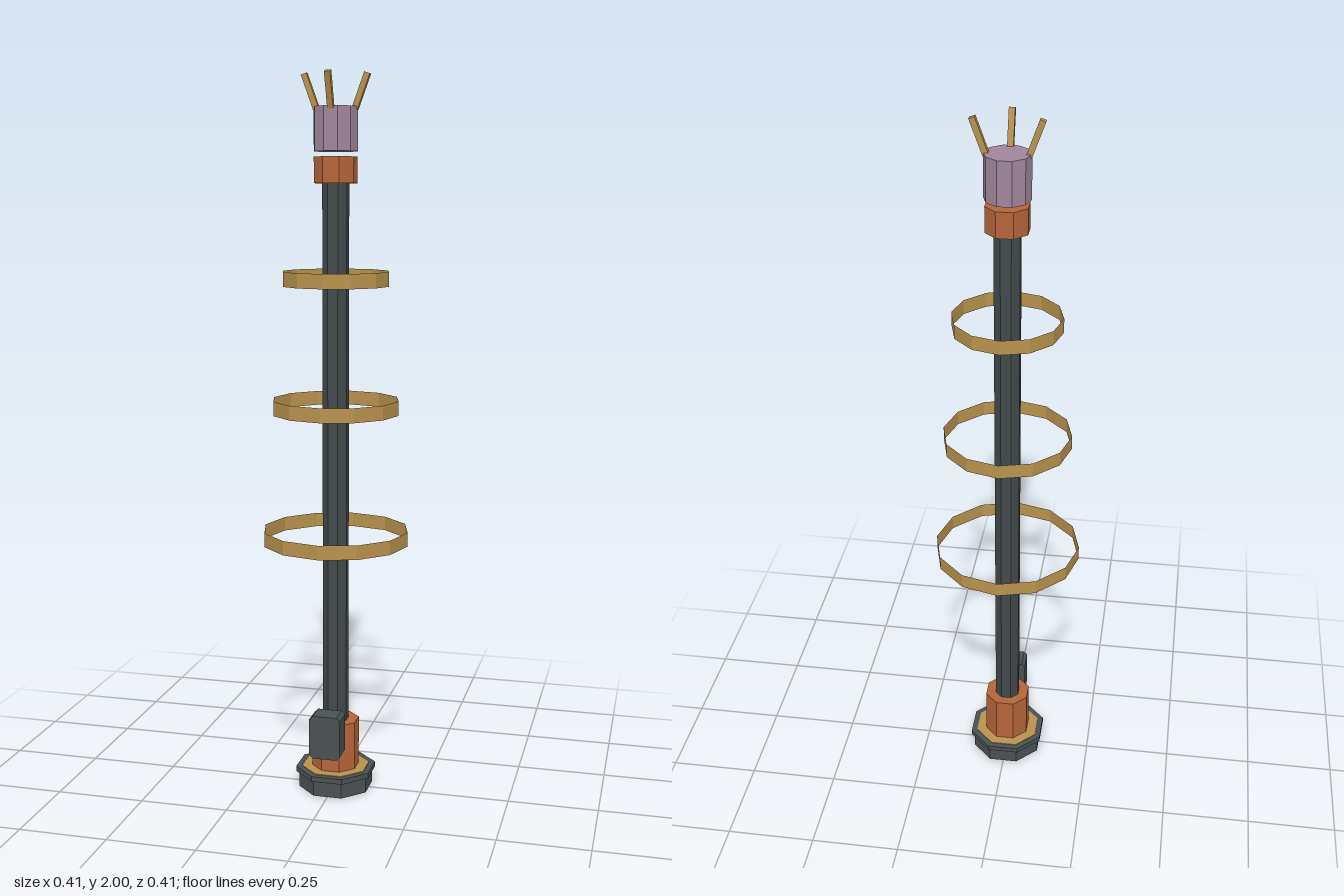
import * as THREE from 'three';

const mat = (name, color, extra = {}) =>
  Object.assign(new THREE.MeshStandardMaterial({ color, flatShading: true, ...extra }), { name });

export function createModel() {
  const model = new THREE.Group();
  const gunmetal = mat('gunmetal', 0x4a5153);
  const poleGrey = mat('pole grey', 0x434a4c);
  const copper = mat('copper', 0xb5653a);
  const brass = mat('brass', 0xb8924c, { side: THREE.DoubleSide });
  const mauve = mat('mauve', 0x9f879b);

  const add = (name, geometry, material, parent = model) => {
    const mesh = new THREE.Mesh(geometry, material);
    mesh.name = name;
    parent.add(mesh);
    return mesh;
  };

  // Upright prism between two heights; apothem is the distance to a flat side
  const prism = (name, apothem, y0, y1, material, sides = 8) => {
    const r = apothem / Math.cos(Math.PI / sides);
    const geometry = new THREE.CylinderGeometry(r, r, y1 - y0, sides);
    geometry.rotateY(Math.PI / sides);
    geometry.translate(0, (y0 + y1) / 2, 0);
    return add(name, geometry, material);
  };

  // Stepped foot with a brass plate, collars and shaft
  prism('foot', 0.098, 0, 0.045, gunmetal);
  prism('footFlange', 0.106, 0.045, 0.06, gunmetal);
  prism('flangePlate', 0.09, 0.06, 0.062, brass);
  prism('lowerCollar', 0.062, 0.06, 0.2, copper);
  prism('shaft', 0.034, 0.19, 1.72, poleGrey);
  prism('upperCollar', 0.055, 1.71, 1.78, copper);

  // Ten-sided head floating just above the upper collar
  const head = add('head', new THREE.CylinderGeometry(0.061, 0.061, 0.117, 10), mauve);
  head.position.y = 1.8525;
  head.rotation.y = Math.PI / 2;

  // Thin floating hoops, wider towards the bottom
  [[0.205, 0.738], [0.177, 1.104], [0.148, 1.455]].forEach(([radius, y], i) => {
    const hoop = add(`hoop${i + 1}`, new THREE.CylinderGeometry(radius, radius, 0.04, 12, 1, true), brass);
    hoop.position.y = y;
  });

  // Three prongs leaning outwards from the head
  [0, Math.PI / 2, -Math.PI / 2].forEach((angle, i) => {
    const pivot = new THREE.Group();
    pivot.name = `prong${i + 1}`;
    pivot.rotation.y = angle;
    const prong = add('prongBar', new THREE.BoxGeometry(0.016, 0.098, 0.016), brass, pivot);
    prong.position.set(0, 1.951, 0.07);
    prong.rotation.x = 0.35;
    model.add(pivot);
  });

  // Control box with chamfered corners, in front of the lower collar
  const w = 0.044, h = 0.062, c = 0.01;
  const outline = new THREE.Shape([
    [-w + c, -h], [w - c, -h], [w, -h + c], [w, h - c],
    [w - c, h], [-w + c, h], [-w, h - c], [-w, -h + c],
  ].map(([x, y]) => new THREE.Vector2(x, y)));
  const box = add('controlBox', new THREE.ExtrudeGeometry(outline, { depth: 0.062, bevelEnabled: false }), gunmetal);
  box.position.set(0, 0.187, 0.068);

  return model;
}
